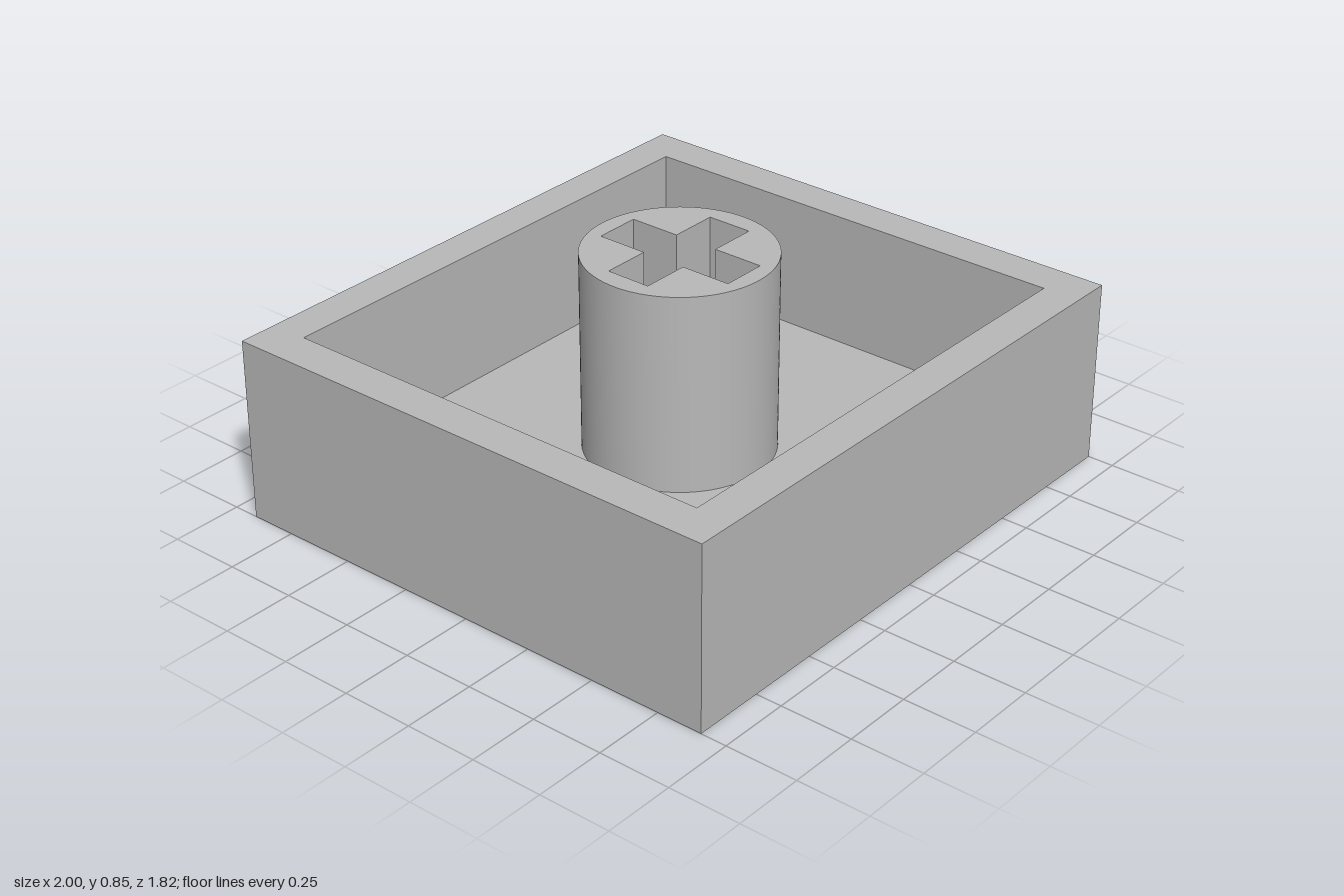
import * as THREE from 'three';
import { toCreasedNormals } from 'three/addons/utils/BufferGeometryUtils.js';

const FLOOR = 0.165, RIM = 0.63, POST_TOP = 0.845;

// Four corners of a level rectangle, counter-clockwise seen from above
const rectLoop = (hx, hz, y) => [[-hx, y, hz], [hx, y, hz], [hx, y, -hz], [-hx, y, -hz]];

// Open tray: outer walls, rim, inner walls and floor from stacked loops
function trayGeometry() {
  const loops = [
    rectLoop(1, 0.91, 0),
    rectLoop(1, 0.91, RIM),
    rectLoop(0.864, 0.78, RIM),
    rectLoop(0.864, 0.78, FLOOR),
  ];
  const pos = [];
  const quad = (a, b, c, d) => pos.push(...a, ...b, ...c, ...a, ...c, ...d);
  for (let i = 0; i < loops.length - 1; i++) {
    for (let k = 0; k < 4; k++) {
      const n = (k + 1) % 4;
      quad(loops[i][k], loops[i][n], loops[i + 1][n], loops[i + 1][k]);
    }
  }
  quad(...loops[3]);                  // floor
  quad(...[...loops[0]].reverse());   // underside
  const geo = new THREE.BufferGeometry();
  geo.setAttribute('position', new THREE.Float32BufferAttribute(pos, 3));
  geo.computeVertexNormals();
  return geo;
}

// Round post with a cross-shaped socket
function postGeometry() {
  const shape = new THREE.Shape();
  shape.absarc(0, 0, 0.313, 0, Math.PI * 2, false);
  const w = 0.078, lx = 0.244, lz = 0.254;
  const cross = [
    [w, w], [w, lz], [-w, lz], [-w, w], [-lx, w], [-lx, -w],
    [-w, -w], [-w, -lz], [w, -lz], [w, -w], [lx, -w], [lx, w],
  ].map(([x, y]) => new THREE.Vector2(x, y));
  shape.holes.push(new THREE.Path(cross.reverse()));
  const geo = new THREE.ExtrudeGeometry(shape, {
    depth: POST_TOP - FLOOR, bevelEnabled: false, curveSegments: 64,
  });
  geo.rotateX(-Math.PI / 2);
  geo.translate(0, FLOOR, 0);
  return toCreasedNormals(geo, 0.5);
}

export function createModel() {
  const group = new THREE.Group();
  group.name = 'keycap';
  const grey = new THREE.MeshStandardMaterial({ color: 0xb8b8b8 });
  grey.name = 'grey plastic';
  const add = (name, geo) => {
    const mesh = new THREE.Mesh(geo, grey);
    mesh.name = name;
    group.add(mesh);
  };
  add('tray', trayGeometry());
  add('socketPost', postGeometry());
  return group;
}
